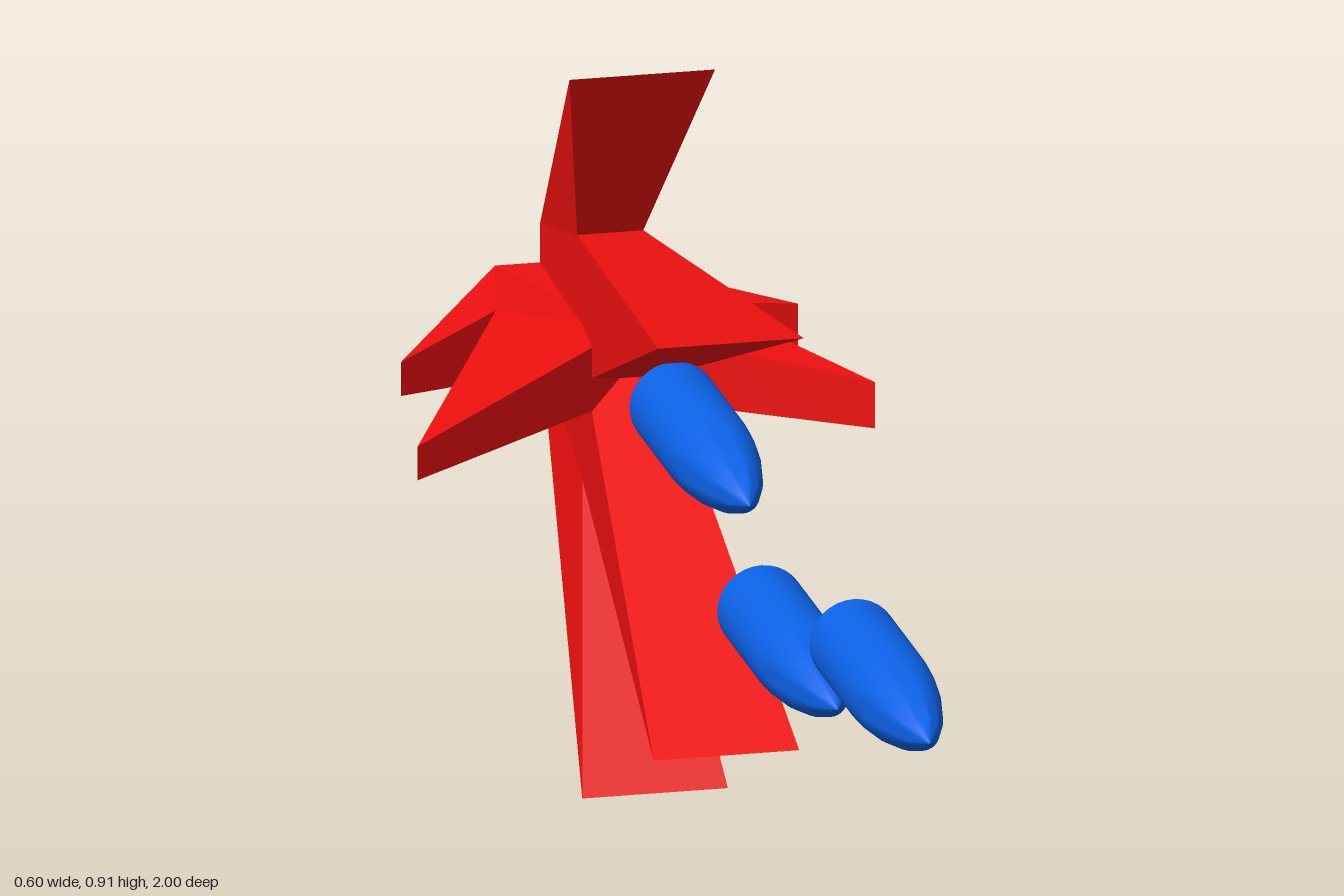
import * as THREE from 'three';
import { toCreasedNormals } from 'three/addons/utils/BufferGeometryUtils.js';

// Triangles of one side of a four-pronged outline: prongs first, then the core.
const FAN_TRIANGLES = [
  [0, 1, 2], [2, 3, 4], [4, 5, 6], [6, 7, 8],
  [0, 2, 4], [0, 4, 8], [4, 6, 8],
];

// Slab with its own half thickness at every outline point [u, v, half].
// place(u, v, offset) puts a point in space.
function flameFan(outline, place) {
  const positions = [];
  const corner = (i, side) => {
    const [u, v, half] = outline[i];
    return place(u, v, side * half);
  };
  const triangle = (a, b, c) => positions.push(...a, ...b, ...c);

  for (const [a, b, c] of FAN_TRIANGLES) {
    triangle(corner(a, -1), corner(b, -1), corner(c, -1));
    triangle(corner(a, 1), corner(c, 1), corner(b, 1));
  }
  outline.forEach((_, i) => {
    const j = (i + 1) % outline.length;
    triangle(corner(i, 1), corner(j, 1), corner(j, -1));
    triangle(corner(i, 1), corner(j, -1), corner(i, -1));
  });

  const geometry = new THREE.BufferGeometry();
  geometry.setAttribute('position', new THREE.Float32BufferAttribute(positions, 3));
  geometry.computeVertexNormals();
  return geometry;
}

// Round with a flat base and a pointed nose along +z.
function bulletGeometry() {
  const profile = [
    [0, 0], [0.056, 0], [0.056, 0.19], [0.054, 0.225], [0.049, 0.27],
    [0.037, 0.33], [0.021, 0.38], [0, 0.418],
  ].map(([r, h]) => new THREE.Vector2(r, h));
  const geometry = new THREE.LatheGeometry(profile, 32);
  geometry.rotateX(Math.PI / 2);
  return toCreasedNormals(geometry, 0.6);
}

export function createModel() {
  const model = new THREE.Group();
  const red = new THREE.MeshStandardMaterial({ color: 0xf01010, flatShading: true });
  const blue = new THREE.MeshStandardMaterial({ color: 0x0c62e6 });

  const add = (name, geometry, material) => {
    const mesh = new THREE.Mesh(geometry, material);
    mesh.name = name;
    model.add(mesh);
    return mesh;
  };

  // Upright flame: [z, y, half width], prongs flare towards their tips
  const upright = [
    [-1, 0.425, 0.025],
    [-0.48, 0, 0.0925], [-0.695, 0.342, 0.042], [-0.09, 0.173, 0.0925],
    [-0.64, 0.49, 0.05],
    [-0.065, 0.717, 0.0925], [-0.725, 0.652, 0.042], [-0.55, 0.913, 0.0925],
    [-1, 0.58, 0.025],
  ];
  add('uprightFlame', flameFan(upright, (z, y, o) => [0.0375 + o, y, z]), red);

  // Level flame: [x, z, half height], prongs thin out towards their tips
  const level = [
    [0.09, -1, 0.022],
    [0.28, -0.743, 0.03], [0.16, -0.73, 0.045], [0.302, -0.415, 0.03],
    [0.04, -0.65, 0.045],
    [-0.302, -0.317, 0.022], [-0.1, -0.757, 0.045], [-0.246, -0.65, 0.022],
    [-0.045, -1, 0.022],
  ];
  add('levelFlame', flameFan(level, (x, z, o) => [x, 0.506 + o, z]), red);

  // Three rounds in flight
  const bullet = bulletGeometry();
  [[0.53, -0.402], [0.417, 0.077], [0.533, 0.582]].forEach(([y, z], i) => {
    add(`bullet${i + 1}`, bullet, blue).position.set(0.043, y, z);
  });

  return model;
}
